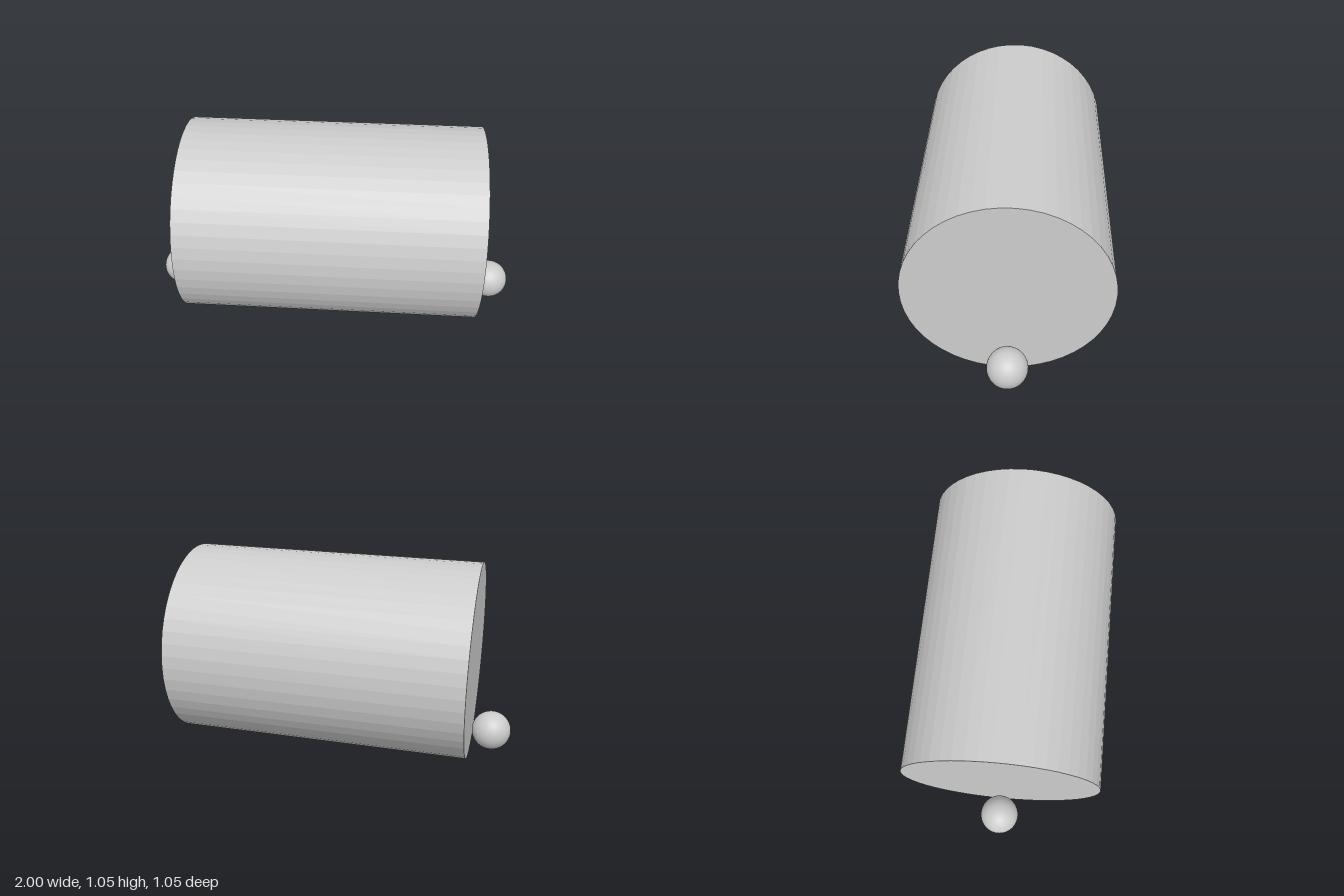
import * as THREE from 'three';

const RADIUS = 0.5236, LENGTH = 1.571, SIDES = 50;
const BALL_RADIUS = 0.1047;

export function createModel() {
  const group = new THREE.Group();
  const material = new THREE.MeshStandardMaterial({ color: 0xcccccc, flatShading: true });

  // Drum lying along x, resting on its lowest facet
  const drum = new THREE.Mesh(
    new THREE.CylinderGeometry(RADIUS, RADIUS, LENGTH, SIDES).rotateZ(Math.PI / 2),
    material
  );
  drum.name = 'drum';
  drum.position.y = RADIUS * Math.cos(Math.PI / SIDES);
  group.add(drum);

  // Small ball low down beside each end
  const ballGeometry = new THREE.SphereGeometry(BALL_RADIUS, 48, 48);
  for (const side of [1, -1]) {
    const ball = new THREE.Mesh(ballGeometry, material);
    ball.name = side > 0 ? 'leftBall' : 'rightBall';
    ball.position.set(side * (1 - BALL_RADIUS), 0.122, 0);
    group.add(ball);
  }

  return group;
}
